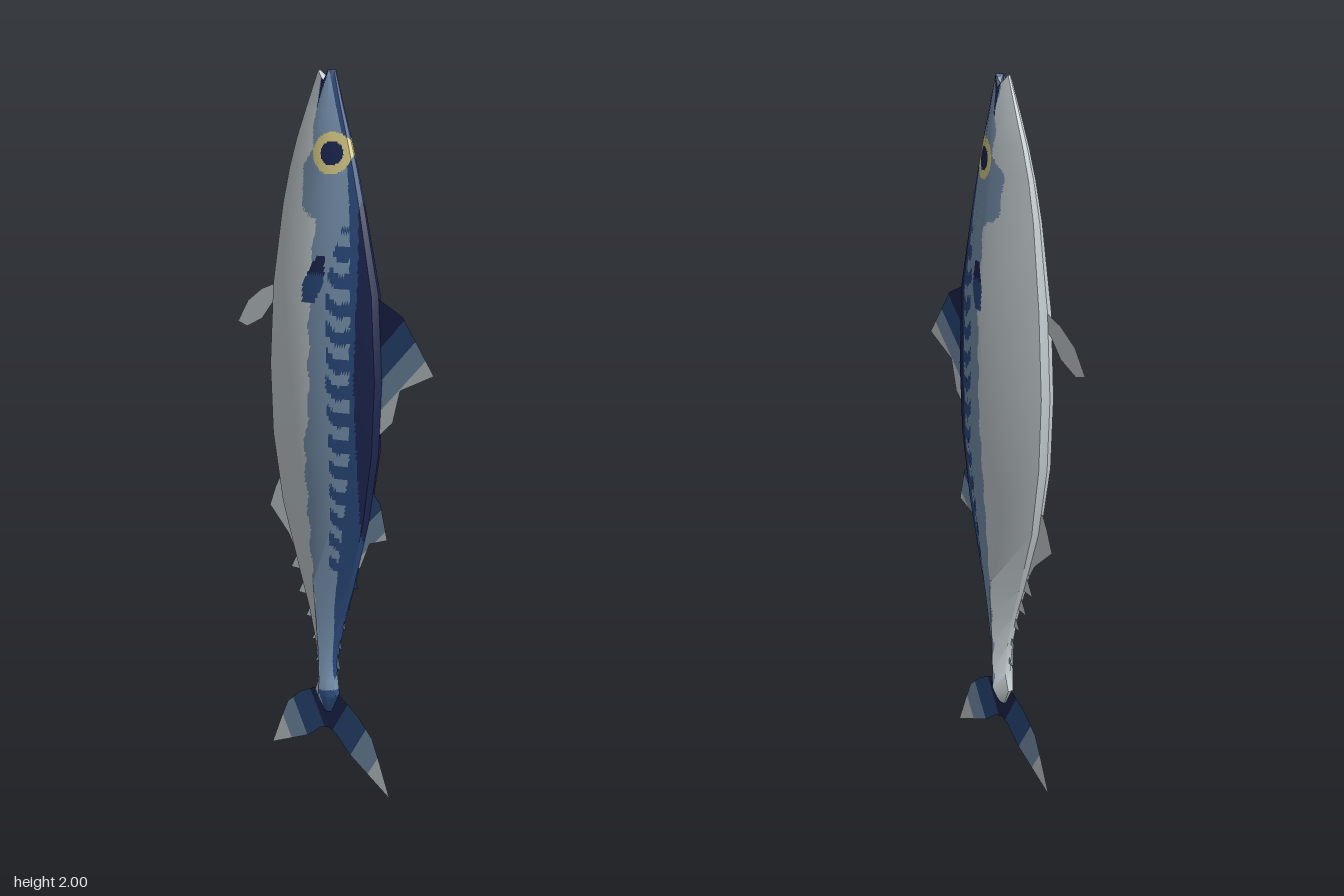
import * as THREE from 'three';
import { toCreasedNormals } from 'three/addons/utils/BufferGeometryUtils.js';

const COLORS = { navy: 0x1d2650, blue: 0x2b4b7d, steel: 0x7893af, silver: 0xc8d0d4, yellow: 0xd9cd86 };
const NAMES = Object.keys(COLORS);
const [NAVY, BLUE, STEEL, SILVER, YELLOW] = [0, 1, 2, 3, 4];

// Body stations from tail to snout: y, back z, belly z, half width
const RINGS = [
  [0.195, 0.012, -0.02, 0.012], [0.25, 0.04, -0.05, 0.036], [0.3, 0.026, -0.032, 0.036],
  [0.4, 0.04, -0.045, 0.038], [0.5, 0.066, -0.072, 0.044], [0.6, 0.1, -0.11, 0.05],
  [0.8, 0.155, -0.18, 0.065], [1.0, 0.19, -0.217, 0.08], [1.2, 0.2, -0.226, 0.081],
  [1.43, 0.185, -0.21, 0.08], [1.65, 0.132, -0.172, 0.056], [1.75, 0.105, -0.145, 0.046],
  [1.83, 0.08, -0.115, 0.04], [1.91, 0.053, -0.078, 0.031], [2.0, 0.025, -0.036, 0.017],
];
// Cross-section: x fraction, z fraction (of back when positive, of belly when negative)
const HALF = [[0, 1], [0.22, 0.95], [0.74, 0.43], [1, -0.11], [0.24, -0.95], [0, -1]];
const SECTION = [...HALF, ...HALF.slice(1, 5).reverse().map(([x, z]) => [-x, z])];

const lerp = THREE.MathUtils.lerp;

// Piecewise linear lookup in [[y, value], ...]
function along(table, y) {
  let i = 0;
  while (i < table.length - 2 && y > table[i + 1][0]) i++;
  const [a, b] = [table[i], table[i + 1]];
  return lerp(a[1], b[1], THREE.MathUtils.clamp((y - a[0]) / (b[0] - a[0]), 0, 1));
}

// Widths of the dark back markings and the lower edge of the steel flank, by height
const NAVY_WIDTH = [[0.7, -0.01], [0.8, 0.015], [1.0, 0.05], [1.2, 0.066], [1.4, 0.05], [1.65, 0.008], [1.7, -0.01]];
const BLUE_WIDTH = [[0.3, 0], [0.45, 0.012], [0.6, 0.04], [0.8, 0.06], [1.0, 0.068], [1.2, 0.078], [1.45, 0.062], [1.65, 0.032], [1.8, 0.014], [2, 0.012]];
const FLANK_EDGE = [[0.3, -0.005], [0.6, -0.012], [1.0, -0.016], [1.1, -0.002], [1.62, 0.005], [1.65, -0.05],
  [1.7, -0.062], [1.76, -0.055], [1.8, -0.02], [2, -0.012]];

function bodyColor(x, y, z) {
  const eye = Math.hypot(z - 0.04, y - 1.79);
  if (eye < 0.031) return NAVY;
  if (eye < 0.054) return YELLOW;
  // Pectoral fin marking and mouth line
  if (y > 1.4 && y < 1.53 && Math.abs(z - 0.015 - (y - 1.465) * 0.25) < 0.033 - Math.abs(y - 1.455) * 0.28)
    return y > 1.48 ? NAVY : BLUE;
  if (y > 1.9 && Math.abs(z + 0.012 - (y - 1.9) * 0.12) < (y - 1.9) * 0.13) return NAVY;
  if (z < along(FLANK_EDGE, y) + 0.004 * Math.sin(y * 60)) return SILVER;
  if (y < 0.27) return BLUE;
  const depth = along(RINGS, y) - z;
  if (depth < along(NAVY_WIDTH, y)) return NAVY;
  if (depth < along(BLUE_WIDTH, y)) return BLUE;
  // Wavy flank stripes
  const reach = along([[0.65, 0.07], [0.8, 0.1], [1.0, 0.125], [1.2, 0.145], [1.45, 0.13], [1.6, 0.06]], y);
  const wave = Math.sin(((y + 0.35 * z + 0.008 * Math.sin(z * 90)) * Math.PI * 2) / 0.074);
  if (y > 0.65 && y < 1.6 && depth < reach && wave > -0.1) return BLUE;
  return STEEL;
}

// Splits every triangle into n*n cells and sorts the cells into colour groups
function paintedGeometry(source, n, colorAt) {
  const P = source.attributes.position, N = source.attributes.normal;
  const bins = NAMES.map(() => ({ pos: [], nor: [] }));
  const v = (attr, t) => [0, 1, 2].map((k) => new THREE.Vector3().fromBufferAttribute(attr, t + k));
  const mix = ([a, b, c], i, j, m) => new THREE.Vector3().addScaledVector(a, 1 - (i + j) / m)
    .addScaledVector(b, i / m).addScaledVector(c, j / m);
  for (let t = 0; t < P.count; t += 3) {
    const p = v(P, t), q = v(N, t);
    const m = Math.max(p[0].z, p[1].z, p[2].z) < -0.07 ? 1 : n;
    const cell = (corners) => {
      const pts = corners.map(([i, j]) => mix(p, i, j, m));
      const c = pts[0].clone().add(pts[1]).add(pts[2]).divideScalar(3);
      const bin = bins[colorAt(c.x, c.y, c.z)];
      pts.forEach((pt) => bin.pos.push(pt.x, pt.y, pt.z));
      corners.forEach(([i, j]) => bin.nor.push(...mix(q, i, j, m).normalize().toArray()));
    };
    for (let i = 0; i < m; i++) for (let j = 0; j < m - i; j++) {
      cell([[i, j], [i + 1, j], [i, j + 1]]);
      if (i + j < m - 1) cell([[i + 1, j], [i + 1, j + 1], [i, j + 1]]);
    }
  }
  const g = new THREE.BufferGeometry();
  g.setAttribute('position', new THREE.Float32BufferAttribute(bins.flatMap((b) => b.pos), 3));
  g.setAttribute('normal', new THREE.Float32BufferAttribute(bins.flatMap((b) => b.nor), 3));
  let start = 0;
  bins.forEach((b, k) => {
    const count = b.pos.length / 3;
    if (count) g.addGroup(start, count, k);
    start += count;
  });
  return g;
}

function bodyGeometry() {
  const S = SECTION.length, last = RINGS.length - 1;
  const pts = [], idx = [];
  RINGS.forEach(([y, back, belly, w], r) => SECTION.forEach(([fx, fz]) => {
    // the snout ring dips at its sides to form the open mouth
    const dip = r === last && fz === -0.11 ? 0.03 : 0;
    pts.push(fx * w, y - dip, fz > 0 ? fz * back : -fz * belly);
  }));
  for (let r = 0; r < last; r++) for (let j = 0; j < S; j++) {
    const a = r * S + j, b = r * S + ((j + 1) % S);
    idx.push(a, b, b + S, a, b + S, a + S);
  }
  const low = pts.length / 3, top = low + 1;
  pts.push(0, 0.19, -0.004, 0, 1.965, -0.006);
  for (let j = 0; j < S; j++) {
    const k = (j + 1) % S;
    idx.push(k, j, low, last * S + j, last * S + k, top);
  }
  const g = new THREE.BufferGeometry();
  g.setAttribute('position', new THREE.Float32BufferAttribute(pts, 3));
  g.setIndex(idx);
  return toCreasedNormals(g, 0.6);
}

// Keeps the part of a polygon where f >= 0
function clip(poly, f) {
  return poly.flatMap((a, i) => {
    const b = poly[(i + 1) % poly.length], fa = f(a), fb = f(b), out = fa >= 0 ? [a] : [];
    if (fa * fb < 0) out.push([0, 1].map((k) => lerp(a[k], b[k], fa / (fa - fb))));
    return out;
  });
}

export function createModel() {
  const model = new THREE.Group();
  const mats = NAMES.map((name) => {
    const m = new THREE.MeshStandardMaterial({ color: COLORS[name], side: THREE.DoubleSide });
    m.name = name;
    return m;
  });

  const body = new THREE.Mesh(paintedGeometry(bodyGeometry(), 16, bodyColor), mats);
  body.name = 'body';
  model.add(body);

  // Flat fin from [z, y] points, cut into bands [upper limit, colour] of the measure s
  function fin(name, points, bands, s = ([z, y]) => z - y) {
    const group = new THREE.Group();
    group.name = name;
    let from = -Infinity;
    for (const [to, color] of bands) {
      const lo = from;
      let part = lo === -Infinity ? points : clip(points, (p) => s(p) - lo);
      if (to !== Infinity) part = clip(part, (p) => to - s(p));
      from = to;
      if (part.length < 3) continue;
      const g = new THREE.ShapeGeometry(new THREE.Shape(part.map(([z, y]) => new THREE.Vector2(-z, y))));
      const mesh = new THREE.Mesh(g.rotateY(Math.PI / 2), mats[color]);
      mesh.name = name + 'Band';
      group.add(mesh);
    }
    model.add(group);
  }
  const plain = (c) => [[Infinity, c]];

  fin('frontDorsalFin', [[0.16, 1.44], [0.19, 1.42], [0.27, 1.385], [0.38, 1.245], [0.265, 1.19], [0.24, 1.1], [0.19, 1.055], [0.16, 1.06]],
    [[-1.1, NAVY], [-1.01, BLUE], [-0.93, STEEL], [Infinity, SILVER]]);
  fin('rearDorsalFin', [[0.12, 0.9], [0.165, 0.9], [0.2, 0.865], [0.225, 0.77], [0.16, 0.745], [0.125, 0.665], [0.08, 0.66]],
    [[-0.65, BLUE], [-0.575, STEEL], [Infinity, SILVER]]);
  fin('analFin', [[-0.16, 0.87], [-0.2, 0.865], [-0.22, 0.83], [-0.245, 0.77], [-0.165, 0.7], [-0.14, 0.66], [-0.1, 0.66]], plain(SILVER));
  fin('pelvicFin', [[-0.19, 1.42], [-0.215, 1.425], [-0.27, 1.405], [-0.33, 1.365], [-0.375, 1.3], [-0.335, 1.29], [-0.27, 1.32], [-0.225, 1.37], [-0.19, 1.39]],
    plain(SILVER));

  // Finlets in front of the tail, along back and belly
  for (const [y, back, belly] of [[0.6, 0.116, -0.155], [0.53, 0.086, -0.125], [0.465, 0.07, -0.093], [0.4, 0.055, -0.068], [0.335, 0.05, -0.054]]) {
    const tri = (z, inset) => [[z * 0.5, y + 0.055], [z - inset, y + 0.045], [z, y], [z * 0.4, y + 0.005]];
    fin('backFinlet', tri(back, 0.012), plain(y > 0.5 ? BLUE : STEEL));
    fin('bellyFinlet', tri(belly, -0.025), plain(SILVER));
  }

  // Forked tail, one lobe on each side
  const lobe = [[0, 0.26], [0.045, 0.255], [0.12, 0.215], [0.175, 0.165], [0.205, 0.1], [0.245, 0.005],
    [0.175, 0.04], [0.085, 0.085], [0.03, 0.13], [0, 0.14]];
  for (const side of [1, -1])
    fin('tailLobe', lobe.map(([z, y]) => [side * z, y]),
      [[0.085, NAVY], [0.19, BLUE], [0.28, STEEL], [Infinity, SILVER]],
      ([z, y]) => Math.abs(z) + 0.6 * (0.25 - y));

  return model;
}
